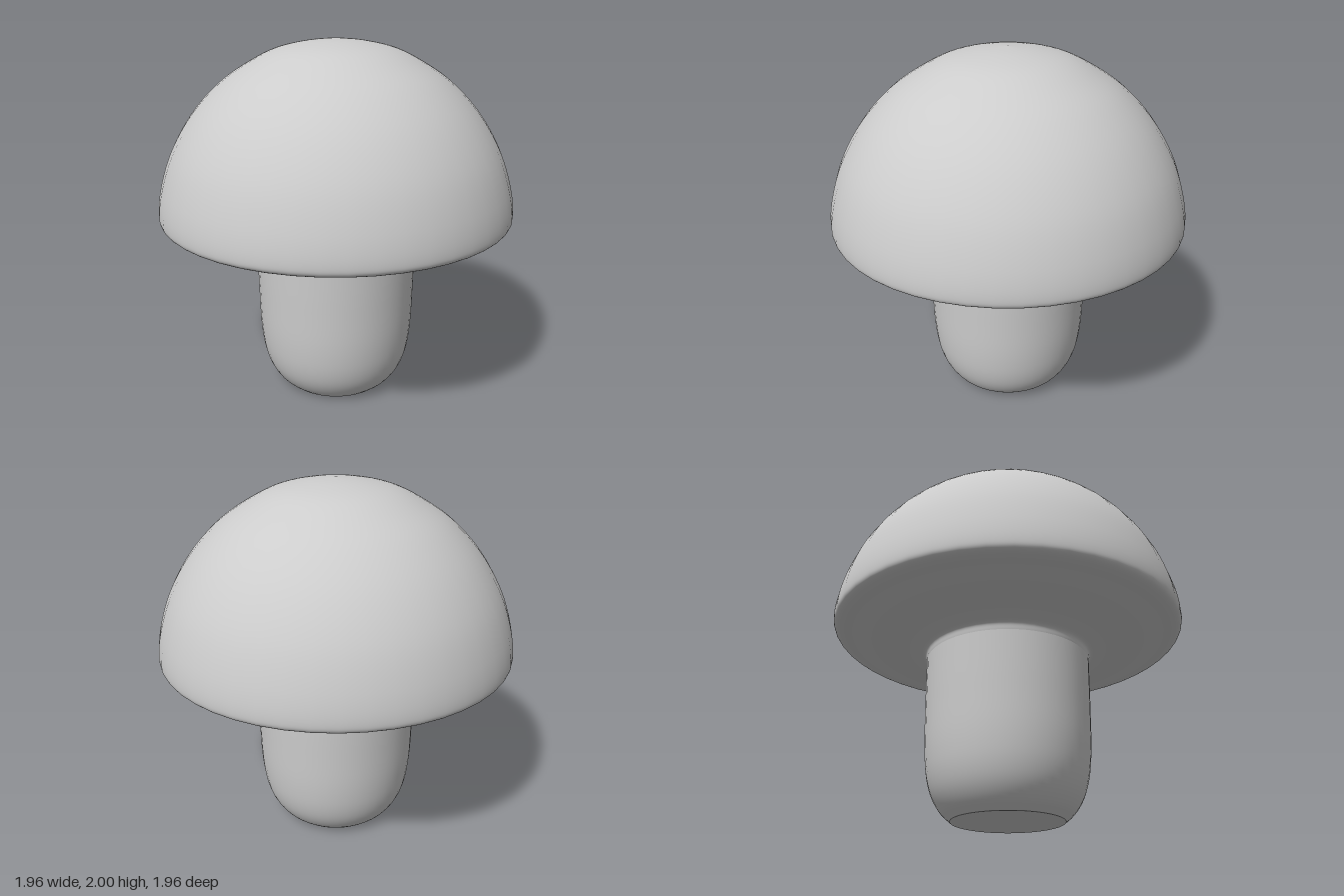
import * as THREE from 'three';

const SEGMENTS = 48;

// Smooth curve through [radius, height] points, listed bottom to top.
function profile(points, steps) {
  const curve = new THREE.CatmullRomCurve3(
    points.map(([r, y]) => new THREE.Vector3(r, y, 0)), false, 'centripetal');
  return curve.getPoints(steps).map(p => new THREE.Vector2(Math.max(p.x, 0), p.y));
}

function turned(name, points, material) {
  const mesh = new THREE.Mesh(new THREE.LatheGeometry(points, SEGMENTS), material);
  mesh.name = name;
  return mesh;
}

export function createModel() {
  const group = new THREE.Group();
  group.name = 'mushroom';
  const grey = new THREE.MeshStandardMaterial({ color: 0xcccccc });
  grey.name = 'light grey';

  // Domed cap with a rounded rim
  group.add(turned('cap', profile([
    [0.88, 1.015], [0.95, 1.03], [0.976, 1.05], [0.982, 1.09], [0.962, 1.22],
    [0.893, 1.42], [0.77, 1.62], [0.62, 1.775], [0.48, 1.87], [0.33, 1.945],
    [0.16, 1.985], [0, 2],
  ], 60), grey));

  // Shallow conical underside, flowing into the top of the stem
  group.add(turned('capUnderside', profile([
    [0.456, 0.89], [0.465, 0.925], [0.51, 0.945], [0.7, 0.98], [0.88, 1.015],
  ], 24), grey));

  // Stem, tucked in towards the foot
  group.add(turned('stem', profile([
    [0.3, 0.005], [0.35, 0.05], [0.395, 0.12], [0.425, 0.21], [0.444, 0.35],
    [0.452, 0.6], [0.456, 0.89],
  ], 36), grey));

  // Flat foot
  const foot = new THREE.Mesh(new THREE.CircleGeometry(0.3, SEGMENTS), grey);
  foot.name = 'stemFoot';
  foot.rotation.x = Math.PI / 2;
  foot.position.y = 0.005;
  group.add(foot);

  return group;
}
